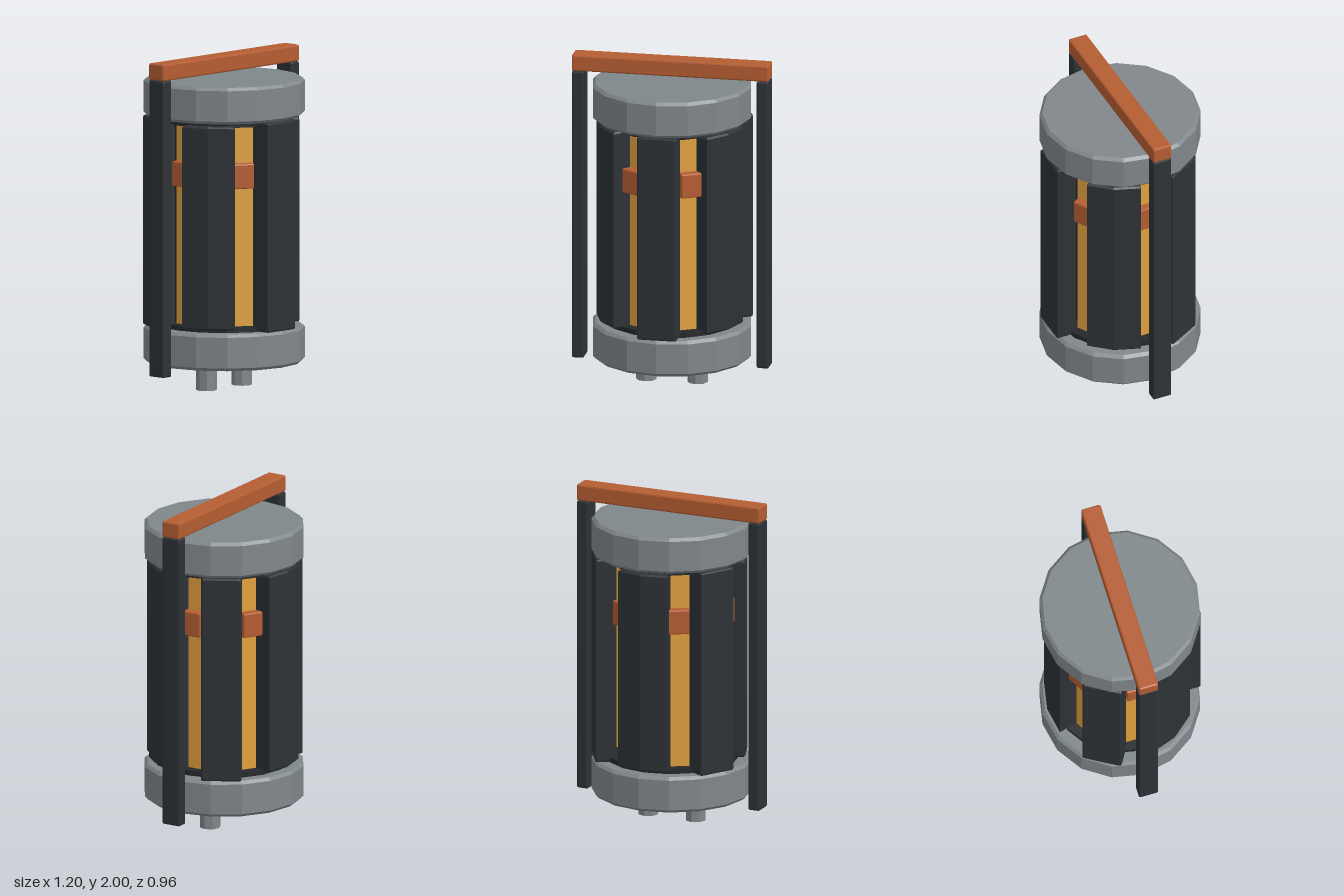
import * as THREE from 'three';
import { RoundedBoxGeometry } from 'three/addons/geometries/RoundedBoxGeometry.js';

export function createModel() {
  const model = new THREE.Group();
  model.name = 'caggedCanister'.replace('gg', 'g');

  const paint = (color) => new THREE.MeshStandardMaterial({ color, flatShading: true });
  const steel = paint(0x80878a);
  const dark = paint(0x2d3236);
  const black = paint(0x25282a);
  const copper = paint(0xb55d32);
  const amber = paint(0xe0a03e);

  const add = (name, geometry, material, x = 0, y = 0, z = 0, parent = model) => {
    const mesh = new THREE.Mesh(geometry, material);
    mesh.name = name;
    mesh.position.set(x, y, z);
    parent.add(mesh);
    return mesh;
  };
  const chamferBox = (w, h, d, bevel) => new RoundedBoxGeometry(w, h, d, 1, bevel);

  // A group turned about the vertical axis, so its parts face outward at that angle
  const spoke = (name, degrees) => {
    const group = new THREE.Group();
    group.name = name;
    group.rotation.y = THREE.MathUtils.degToRad(degrees);
    model.add(group);
    return group;
  };

  // End caps: chamfered sixteen-sided discs
  const R = 0.48, H = 0.11, B = 0.018;
  const capProfile = [[0, -H], [R - B, -H], [R, -H + B], [R, H - B], [R - B, H], [0, H]]
    .map(([x, y]) => new THREE.Vector2(x, y));
  const capGeometry = new THREE.LatheGeometry(capProfile, 16);
  add('bottomCap', capGeometry, steel, 0, 0.27, 0);
  add('topCap', capGeometry, steel, 0, 1.75, 0);

  // Inner core and the collars that join it to the caps
  add('core', new THREE.CylinderGeometry(0.31, 0.31, 1.26, 16), black, 0, 1.01, 0);
  const collarGeometry = new THREE.CylinderGeometry(0.4, 0.4, 0.04, 16);
  add('bottomCollar', collarGeometry, black, 0, 0.39, 0);
  add('topCollar', collarGeometry, black, 0, 1.63, 0);

  // Flat armour plates and, between them, two-faceted wall segments
  const plateGeometry = chamferBox(0.24, 1.26, 0.13, 0.012);
  const polar = (r, deg) => {
    const a = THREE.MathUtils.degToRad(deg);
    return new THREE.Vector2(r * Math.sin(a), -r * Math.cos(a));
  };
  const wallShape = new THREE.Shape([
    polar(0.45, -21), polar(0.45, 0), polar(0.45, 21),
    polar(0.33, 23.5), polar(0.31, 0), polar(0.33, -23.5),
  ]);
  const wallGeometry = new THREE.ExtrudeGeometry(wallShape, {
    depth: 1.2, bevelThickness: 0.01, bevelSize: 0.01, bevelOffset: -0.01, bevelSegments: 1,
  });
  wallGeometry.rotateX(-Math.PI / 2);
  for (let i = 0; i < 3; i++) {
    add('plate', plateGeometry, dark, 0, 1.01, 0.405, spoke('plateSpoke', i * 120));
    add('wallSegment', wallGeometry, dark, 0, 0.41, 0, spoke('wallSpoke', i * 120 + 60));
  }

  // Glowing strips in the gaps, each with a copper clip
  const stripGeometry = new THREE.BoxGeometry(0.15, 1.22, 0.06);
  const clipGeometry = chamferBox(0.14, 0.15, 0.1, 0.008);
  for (let i = 0; i < 6; i++) {
    const gap = spoke('gap', i * 60 + 30);
    add('glowStrip', stripGeometry, amber, 0, 1.01, 0.305, gap);
    add('clip', clipGeometry, copper, 0, 1.315, 0.335, gap);
  }

  // Handle frame and the two contact pins
  add('handleBar', chamferBox(1.195, 0.1, 0.12, 0.01), copper, 0, 1.95, 0);
  const postGeometry = chamferBox(0.073, 1.78, 0.12, 0.01);
  const pinGeometry = new THREE.CylinderGeometry(0.062, 0.062, 0.2, 8);
  for (const side of [-1, 1]) {
    const label = side > 0 ? 'left' : 'right';
    add(label + 'Post', postGeometry, dark, side * 0.56, 1.01, 0);
    add(label + 'Pin', pinGeometry, steel, side * 0.155, 0.1, 0);
  }
  return model;
}
